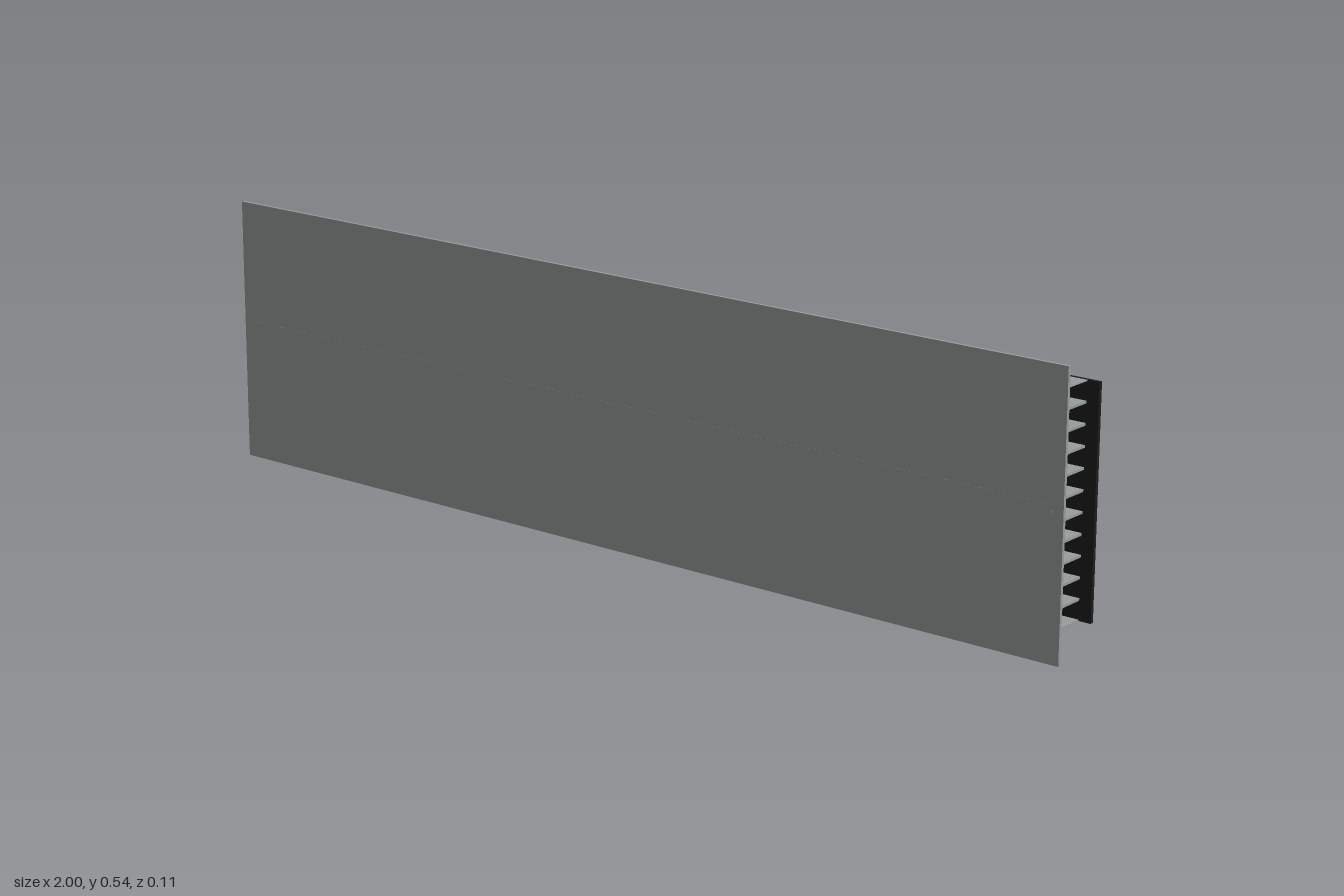
import * as THREE from 'three';

export function createModel() {
  const model = new THREE.Group();
  model.name = 'louvredPanel';
  const grey = new THREE.MeshStandardMaterial({ color: 0x979c9c });
  grey.name = 'metal grey';
  const black = new THREE.MeshStandardMaterial({ color: 0x1c1c1c });
  black.name = 'matt black';

  // Full-length box given by its lower/upper y and back/front z
  function bar(name, material, length, y0, y1, z0, z1) {
    const mesh = new THREE.Mesh(new THREE.BoxGeometry(length, y1 - y0, z1 - z0), material);
    mesh.name = name;
    mesh.position.set(0, (y0 + y1) / 2, (z0 + z1) / 2);
    model.add(mesh);
  }

  const cells = 11, bottom = 0.052, top = 0.491, inner = 1.95;
  const front = 0.047, back = -0.046;
  const pitch = (top - bottom) / cells;

  // Outer sheets
  bar('frontSheet', grey, 2, 0, 0.54, front, 0.0535);
  bar('backSheet', black, 2, bottom, top, -0.0535, back);

  // Shelves: thin at both ends, double thickness where two channels meet
  for (let i = 0; i <= cells; i++) {
    const y = bottom + i * pitch;
    bar('shelf', grey, inner, i === 0 ? y : y - 0.0024, i === cells ? y : y + 0.0024, back, front);
  }

  // Channel webs and the dark strip inside each cell
  for (let i = 0; i < cells; i++) {
    const y = bottom + i * pitch;
    if (i > 0 && i < cells - 1) bar('channelWeb', grey, inner, y + 0.0024, y + pitch - 0.0024, 0.0435, front);
    bar('innerStrip', black, inner, y + 0.009, y + pitch - 0.0095, 0.0255, 0.033);
  }

  // Barely raised band along the middle of the front
  bar('frontBand', grey, inner, bottom + 5 * pitch, bottom + 6 * pitch, 0.053, 0.0538);
  return model;
}
